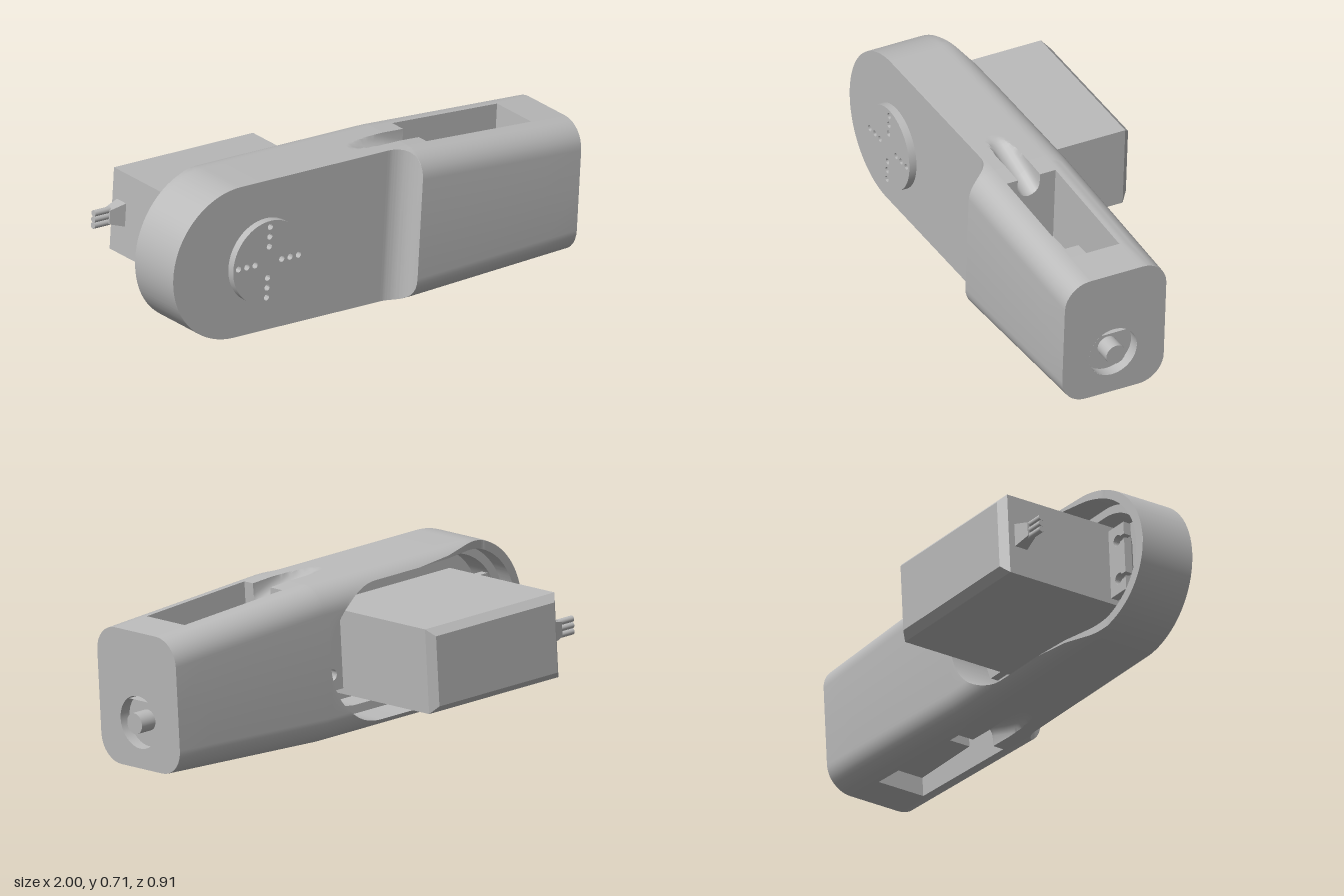
import * as THREE from 'three';
import { toCreasedNormals } from 'three/addons/utils/BufferGeometryUtils.js';

// Local frame: x runs along the arm, y is up, z points out of the front plate.
const MID = 0.341, R = 0.323, FILLET = 0.11;
const BACK = -0.084, FRONT = 0.374, PLATE = 0.27;
const LEFT_C = -0.69, POCKET_C = -0.165, END = 0.95;
const WIN = { u0: 0.25, u1: 0.78, w0: 0.04, w1: 0.26 };
const COLS = [0.26, 0.2105, 0.2095, 0.204, 0.195, 0.18, 0.16, 0.14, 0.125, 0.116, 0.1105, 0.1095, 0.04];

// Half height of the arm: round left end, straight middle, taper to the right
function half(u) {
  if (u < LEFT_C) return Math.sqrt(Math.max(0, R * R - (u - LEFT_C) ** 2));
  return u < 0.15 ? R : R - 0.042 * (u - 0.15) / 0.8;
}
// Height of the outer surface at (u, w): rounded long edges and the sloping cable scoop
function top(u, w) {
  const d = Math.min(FILLET, Math.max(0, BACK + FILLET - w, w - (FRONT - FILLET)));
  let v = half(u) - FILLET + Math.sqrt(FILLET * FILLET - d * d);
  const t = (u + 0.06) / 0.31, s = w - 0.16;
  if (t > 0 && t < 1.001 && Math.abs(s) < 0.05) {
    v -= Math.max(0, 0.088 * t - 0.05 + Math.sqrt(0.0025 - s * s));
  }
  return Math.max(0, v);
}
// Front plate, cove and thicker box
function frontW(u) {
  if (u < 0.05) return PLATE;
  if (u > 0.15) return FRONT;
  return PLATE + 0.104 * (1 - Math.sqrt(Math.max(0, 1 - ((u - 0.05) / 0.1) ** 2)));
}
// Half height of the servo pocket, a stadium of radius r
function pocket(u, r) {
  const d = u < LEFT_C ? u - LEFT_C : Math.max(0, u - POCKET_C);
  return Math.sqrt(Math.max(0, r * r - d * d));
}
// Sloping cut along the back, and the pocket breaking through the rounded edge
function backW(u) {
  const pts = [[-1.016, 0.025], [-0.79, 0.001], [-0.69, -0.022], [-0.57, -0.046], [-0.4, -0.07], [-0.25, BACK]];
  let cut = BACK;
  for (let i = 0; i + 1 < pts.length; i++) {
    const [a, wa] = pts[i], [b, wb] = pts[i + 1];
    if (u >= a - 0.01 && u < b) cut = wa + (wb - wa) * (u - a) / (b - a);
  }
  const k = Math.max(0, pocket(u, 0.285) - half(u) + FILLET);
  return Math.max(cut, BACK + FILLET - Math.sqrt(Math.max(0, FILLET * FILLET - k * k)));
}

// Skin over rows of points; each row is a closed loop
function skin(rows, skip = () => false) {
  const pos = [], a = new THREE.Vector3(), b = new THREE.Vector3();
  const tri = (p, q, r) => {
    a.subVectors(q, p); b.subVectors(r, p);
    if (a.cross(b).length() > 1e-9) pos.push(...p.toArray(), ...q.toArray(), ...r.toArray());
  };
  for (let i = 0; i + 1 < rows.length; i++) {
    const n = rows[i].length;
    for (let j = 0; j < n; j++) {
      const k = (j + 1) % n, p = rows[i][j], q = rows[i + 1][j], r = rows[i + 1][k], s = rows[i][k];
      if (skip(p, q, r, s)) continue;
      tri(p, q, r);
      tri(p, r, s);
    }
  }
  const g = new THREE.BufferGeometry();
  g.setAttribute('position', new THREE.Float32BufferAttribute(pos, 3));
  return toCreasedNormals(g, 0.5);
}

// Cross-section of the arm, including the stepped pocket
function section(u) {
  const wf = frontW(u), wb = backW(u), p1 = pocket(u, 0.285), p2 = pocket(u, 0.25);
  const up = [[wf, 0]];
  const col = w => { w = Math.max(wb, Math.min(wf, w)); up.push([w, top(u, w)]); };
  for (let k = 0; k <= 8; k++) col(FRONT - FILLET * (1 - Math.cos(k * Math.PI / 16)));
  COLS.forEach(col);
  for (let k = 0; k <= 10; k++) col(BACK + FILLET * (1 - Math.sin(k * Math.PI / 20)));
  col(wb);
  const edge = up[up.length - 1][1];
  up.push([wb, Math.min(p1, edge)], [0.09, p1], [0.09, p2], [0.2, p2], [0.2, 0]);
  const all = [...up, ...up.slice(1, -1).reverse().map(([w, v]) => [w, -v])];
  return all.map(([w, v]) => new THREE.Vector3(u, MID + v, w));
}

// Positions along the arm, close together around the curves
function stations() {
  const s = [-0.79, -0.57, -0.4, -0.25, 0.1501, WIN.u0, WIN.u1, END];
  for (let k = 0; k <= 20; k++) {
    const c = Math.cos(k * Math.PI / 40);
    for (const r of [R, 0.285, 0.25]) s.push(LEFT_C - r * c);
    for (const r of [0.285, 0.25]) s.push(POCKET_C + r * c);
    s.push(-0.06 + 0.31 * k / 20);
    if (k % 2 === 0) s.push(0.05 + 0.1 * c);
  }
  return s.sort((a, b) => a - b).filter((u, i) => i === 0 || u - s[i - 1] > 1e-5);
}

const circle = (x, y, r) => new THREE.Path().absarc(x, y, r, 0, Math.PI * 2, true);

export function createModel() {
  const grey = new THREE.MeshStandardMaterial({ color: 0xbababa, side: THREE.DoubleSide });
  grey.name = 'plain grey';
  const arm = new THREE.Group();
  arm.name = 'arm';
  const add = (name, geometry, x = 0, y = 0, z = 0) => {
    const m = new THREE.Mesh(geometry, grey);
    m.name = name;
    m.position.set(x, y, z);
    arm.add(m);
  };

  // Housing shell with the window left open above and below
  const inside = p => p.x > WIN.u0 - 1e-4 && p.x < WIN.u1 + 1e-4 && p.z > WIN.w0 - 1e-4 &&
    p.z < WIN.w1 + 1e-4 && Math.abs(p.y - MID) > 0.1;
  add('housing', skin(stations().map(section), (...q) => q.every(inside)));

  // Window walls
  const rim = [...COLS.map(w => [WIN.u0, w]), [WIN.u1, WIN.w0], [WIN.u1, WIN.w1]];
  add('windowWalls', skin([-1, 1].map(s =>
    rim.map(([u, w]) => new THREE.Vector3(u, MID + s * top(u, w), w)))));

  // End face with its shaft hole
  const axisY = 0.25, axisZ = 0.148;
  const ring = section(END).filter(p => p.z > 0.2001 || Math.abs(p.y - MID) > 0.15);
  const face = new THREE.Shape(ring.map(p => new THREE.Vector2(-p.z, p.y)));
  face.holes.push(circle(-axisZ, axisY, 0.108));
  add('endFace', new THREE.ShapeGeometry(face, 32).rotateY(Math.PI / 2), END);
  const rod = (r, len, open = false) => new THREE.CylinderGeometry(r, r, len, 40, 1, open).rotateZ(Math.PI / 2);
  add('shaftHole', rod(0.108, 0.05, true), END - 0.025, axisY, axisZ);
  add('shaftHoleFloor', rod(0.108, 0.004), END - 0.05, axisY, axisZ);
  add('shaft', rod(0.043, 0.075), END - 0.013, axisY, axisZ);

  // Block inside the window
  add('innerBlock', new THREE.BoxGeometry(0.315, 0.3, 0.212), 0.62, 0.28, 0.15);

  // Output disc with a cross of small holes
  const discX = -0.582, disc = new THREE.Shape().absarc(0, 0, 0.177, 0, Math.PI * 2);
  for (let k = 0; k < 4; k++) for (const d of [0.067, 0.109, 0.151]) {
    const a = k * Math.PI / 2;
    disc.holes.push(circle(d * Math.cos(a), d * Math.sin(a), 0.013));
  }
  add('outputDisc', toCreasedNormals(
    new THREE.ExtrudeGeometry(disc, { depth: 0.032, bevelEnabled: false, curveSegments: 28 }), 0.6), discX, MID, 0.3);
  add('discHub', new THREE.CylinderGeometry(0.05, 0.05, 0.06, 32).rotateX(Math.PI / 2), discX, MID, 0.28);

  // Servo case with a chamfered back
  const case0 = -0.76, case1 = -0.06, hv = 0.174, servoY = MID - 0.004;
  const rect = new THREE.Shape([[case0, -hv], [case1, -hv], [case1, hv], [case0, hv]]
    .map(([x, y]) => new THREE.Vector2(x, y)));
  add('servoCase', new THREE.ExtrudeGeometry(rect, {
    depth: 0.61, bevelThickness: 0.03, bevelSize: 0.03, bevelOffset: -0.03, bevelSegments: 1,
  }), 0, servoY, -0.449);

  // Mounting ears with open screw slots
  for (const side of [-1, 1]) {
    const ear = new THREE.Shape();
    ear.moveTo(0, -0.15).lineTo(0.1, -0.15);
    for (const y of [-0.085, 0.085]) {
      ear.lineTo(0.1, y - 0.012).lineTo(0.075, y - 0.012);
      ear.absarc(0.055, y, 0.024, -0.5, 0.5, true);
      ear.lineTo(0.075, y + 0.012).lineTo(0.1, y + 0.012);
    }
    ear.lineTo(0.1, 0.15).lineTo(0, 0.15);
    const g = new THREE.ExtrudeGeometry(ear, { depth: 0.035, bevelEnabled: false });
    if (side < 0) g.rotateY(Math.PI).translate(0, 0, 0.035);
    add(side < 0 ? 'rightEar' : 'leftEar', g, side < 0 ? case0 : case1, servoY, 0.05);
  }

  // Cable plug and wires
  const plug = new THREE.CylinderGeometry(0.042, 0.07, 0.07, 4, 1).toNonIndexed();
  plug.rotateY(Math.PI / 4).rotateZ(Math.PI / 2).scale(1, 1, 0.6);
  plug.computeVertexNormals();
  add('cablePlug', plug, case0 - 0.035, servoY, -0.39);
  for (const k of [-1, 0, 1]) add('wire', rod(0.013, 0.08), case0 - 0.1, servoY + k * 0.026, -0.39);

  // Tilt and turn the whole arm, and centre it
  arm.rotation.set(0, 0.168, -0.064, 'YXZ');
  arm.position.set(-0.029, 0, 0.008);
  const model = new THREE.Group();
  model.name = 'servoArm';
  model.add(arm);
  return model;
}
